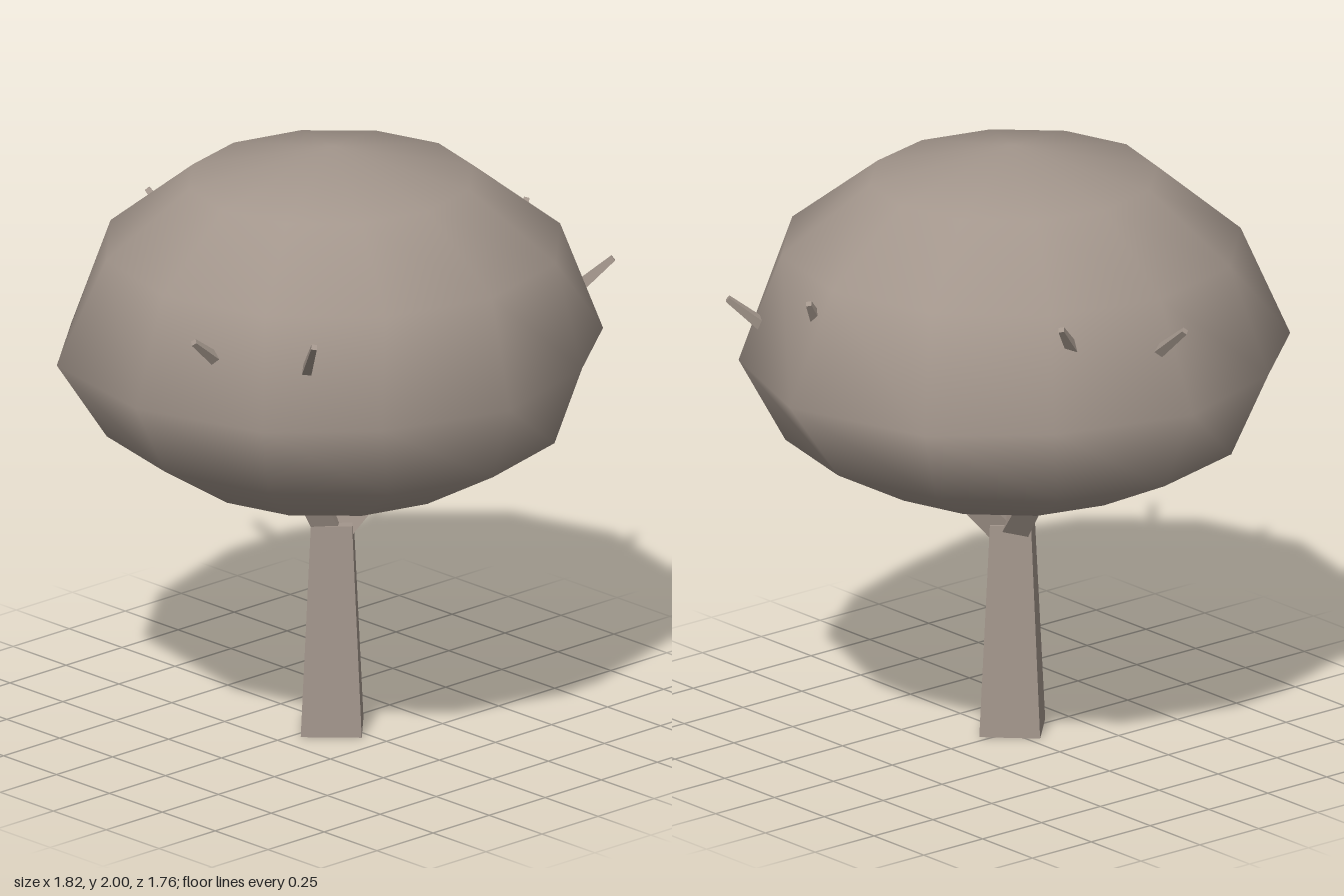
import * as THREE from 'three';

export function createModel() {
  const tree = new THREE.Group();
  tree.name = 'tree';
  const bark = new THREE.MeshStandardMaterial({ color: 0xa3968c, flatShading: true });
  bark.name = 'taupe wood';
  const leaf = bark.clone();
  leaf.flatShading = false;
  leaf.name = 'taupe foliage';

  // Tapered four-sided stick between two points
  function stick(name, from, to, r0, r1) {
    const a = new THREE.Vector3(...from), b = new THREE.Vector3(...to);
    const dir = b.clone().sub(a);
    const mesh = new THREE.Mesh(new THREE.CylinderGeometry(r1, r0, dir.length(), 4), bark);
    mesh.name = name;
    mesh.position.copy(a).add(b).multiplyScalar(0.5);
    mesh.quaternion.setFromUnitVectors(new THREE.Vector3(0, 1, 0), dir.normalize());
    tree.add(mesh);
  }

  // Trunk, standing corner-on to the front
  stick('trunk', [-0.035, 0, 0.03], [-0.035, 0.715, 0.03], 0.14, 0.095);

  // Forked branches that vanish into the crown
  stick('branchLeft', [-0.01, 0.69, 0.045], [0.32, 1.08, 0.2], 0.06, 0.045);
  stick('branchRight', [-0.05, 0.69, 0.03], [-0.28, 1.08, 0.03], 0.06, 0.045);
  stick('branchBack', [-0.03, 0.69, 0.01], [0.06, 1.08, -0.32], 0.06, 0.045);

  // Twig ends poking out of the crown: base and tip
  const twigs = [
    [[-0.79, 1.525, 0.25], [-0.855, 1.58, 0.245]],
    [[-0.625, 1.51, 0.54], [-0.7, 1.63, 0.65]],
    [[0.72, 1.47, 0.445], [0.785, 1.535, 0.49]],
    [[0.76, 1.58, 0.085], [0.795, 1.63, 0.07]],
    [[0.01, 1.53, -0.785], [0, 1.61, -0.88]],
    [[0.32, 1.59, -0.67], [0.365, 1.645, -0.69]],
  ];
  twigs.forEach(([base, tip], i) => {
    const root = base.map((v, k) => v - (tip[k] - v) * 0.8);
    stick('twig' + (i + 1), root, tip, 0.027, 0.013);
  });

  // Crown: twelve-sided rings, each [y, centre x, centre z, radius x, radius z]
  const N = 12;
  const upper = [[1.895, -0.04, 0.03, 0.48, 0.46], [1.67, -0.03, 0.03, 0.76, 0.75]];
  const lower = [[1.045, -0.01, 0, 0.74, 0.765], [0.885, -0.035, 0.025, 0.465, 0.455]];
  // Uneven widest ring (x, z), counted from the front towards +x
  const widest = [
    [-0.04, 0.875], [0.41, 0.74], [0.73, 0.5], [0.91, 0.03], [0.76, -0.47], [0.43, -0.73],
    [-0.04, -0.87], [-0.49, -0.72], [-0.81, -0.45], [-0.91, 0.03], [-0.77, 0.48], [-0.48, 0.735],
  ];
  const pos = [-0.035, 2, 0.03];
  const addRing = ([y, cx, cz, rx, rz]) => {
    for (let j = 0; j < N; j++) {
      const t = (j / N) * Math.PI * 2;
      pos.push(cx + rx * Math.sin(t), y, cz + rz * Math.cos(t));
    }
  };
  upper.forEach(addRing);
  widest.forEach(([x, z]) => pos.push(x, 1.31, z));
  lower.forEach(addRing);
  pos.push(-0.03, 0.815, 0.02);

  const index = [], last = 1 + 5 * N;
  const at = (ring, j) => 1 + ring * N + (j % N);
  for (let j = 0; j < N; j++) {
    index.push(0, at(0, j), at(0, j + 1));
    for (let i = 0; i < 4; i++) {
      const a = at(i, j), b = at(i + 1, j), c = at(i + 1, j + 1), d = at(i, j + 1);
      index.push(a, b, c, a, c, d);
    }
    index.push(at(4, j), last, at(4, j + 1));
  }
  const geo = new THREE.BufferGeometry();
  geo.setAttribute('position', new THREE.Float32BufferAttribute(pos, 3));
  geo.setIndex(index);
  geo.computeVertexNormals();
  const crown = new THREE.Mesh(geo, leaf);
  crown.name = 'crown';
  tree.add(crown);

  return tree;
}
